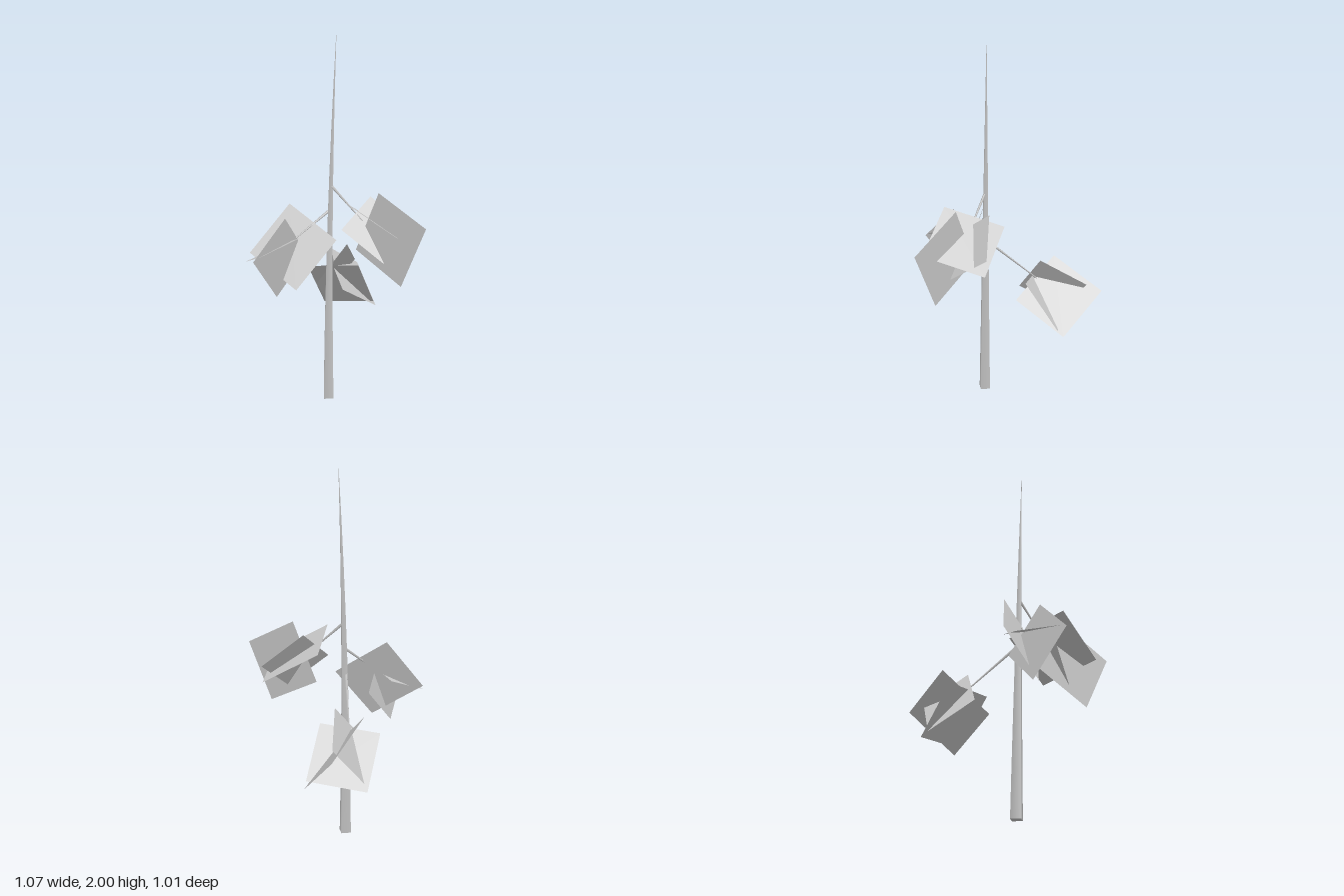
import * as THREE from 'three';

const leafMaterial = new THREE.MeshStandardMaterial({ color: 0xcccccc, side: THREE.DoubleSide });
const woodMaterial = new THREE.MeshStandardMaterial({ color: 0xcccccc });

// Slim four-sided trunk whose axis drifts as it rises to a point
function makeTrunk() {
  const height = 2;
  const geometry = new THREE.CylinderGeometry(0.001, 0.038, height, 4, 8);
  geometry.translate(0, height / 2, 0);
  const pos = geometry.attributes.position;
  for (let i = 0; i < pos.count; i++) {
    const bend = (pos.getY(i) / height) ** 2;
    pos.setX(i, pos.getX(i) - 0.043 + 0.031 * bend);
    pos.setZ(i, pos.getZ(i) - 0.144 + 0.037 * bend);
  }
  const mesh = new THREE.Mesh(geometry, woodMaterial);
  mesh.name = 'trunk';
  return mesh;
}

// Thin tapered twig between two points
function makeTwig(from, to) {
  const a = new THREE.Vector3(...from);
  const b = new THREE.Vector3(...to);
  const dir = b.clone().sub(a);
  const mesh = new THREE.Mesh(new THREE.CylinderGeometry(0.003, 0.008, dir.length(), 4), woodMaterial);
  mesh.position.copy(a).add(b).multiplyScalar(0.5);
  mesh.quaternion.setFromUnitVectors(new THREE.Vector3(0, 1, 0), dir.normalize());
  mesh.name = 'twig';
  return mesh;
}

// Flat parallelogram leaf card: a corner and its two neighbours
function makeLeaf([corner, next, previous]) {
  const o = new THREE.Vector3(...corner);
  const u = new THREE.Vector3(...next).sub(o);
  const v = new THREE.Vector3(...previous).sub(o);
  const normal = new THREE.Vector3().crossVectors(u, v).normalize();
  const geometry = new THREE.PlaneGeometry(1, 1).translate(0.5, 0.5, 0);
  geometry.applyMatrix4(new THREE.Matrix4().makeBasis(u, v, normal).setPosition(o));
  const mesh = new THREE.Mesh(geometry, leafMaterial);
  mesh.name = 'leafCard';
  return mesh;
}

const branches = [
  {
    name: 'frontBranch',
    from: [-0.034, 1.2, -0.13], to: [0, 1.02, 0.07],
    leaves: [
      [[0.005, 1.175, 0.18], [-0.004, 1.016, 0.503], [0.003, 0.857, 0.021]],
      [[-0.164, 1.143, 0.066], [-0.072, 0.966, 0.366], [0.132, 1.05, -0.08]],
      [[0.111, 1.138, 0.03], [-0.127, 0.98, 0.035], [0.233, 0.963, 0.219]],
    ],
  },
  {
    name: 'rightBranch',
    from: [-0.036, 1.06, -0.14], to: [-0.22, 0.91, -0.23],
    leaves: [
      [[-0.164, 1.095, -0.32], [-0.349, 0.83, -0.444], [-0.078, 0.91, -0.047]],
      [[-0.501, 0.852, -0.193], [-0.282, 0.937, -0.121], [-0.406, 0.792, -0.412]],
      [[-0.312, 1.037, -0.2], [-0.534, 0.83, -0.207], [-0.106, 0.814, -0.247]],
    ],
  },
  {
    name: 'leftBranch',
    from: [-0.036, 0.92, -0.145], to: [0.2, 0.68, -0.33],
    leaves: [
      [[0.228, 0.804, -0.435], [0.133, 0.582, -0.199], [0.536, 0.656, -0.452]],
      [[0.11, 0.69, -0.458], [0.222, 0.716, -0.159], [0.297, 0.44, -0.504]],
      [[0.06, 0.608, -0.337], [0.245, 0.825, -0.268], [0.28, 0.473, -0.475]],
    ],
  },
];

export function createModel() {
  const model = new THREE.Group();
  model.name = 'tree';
  model.add(makeTrunk());
  for (const { name, from, to, leaves } of branches) {
    const branch = new THREE.Group();
    branch.name = name;
    branch.add(makeTwig(from, to), ...leaves.map(makeLeaf));
    model.add(branch);
  }
  return model;
}
